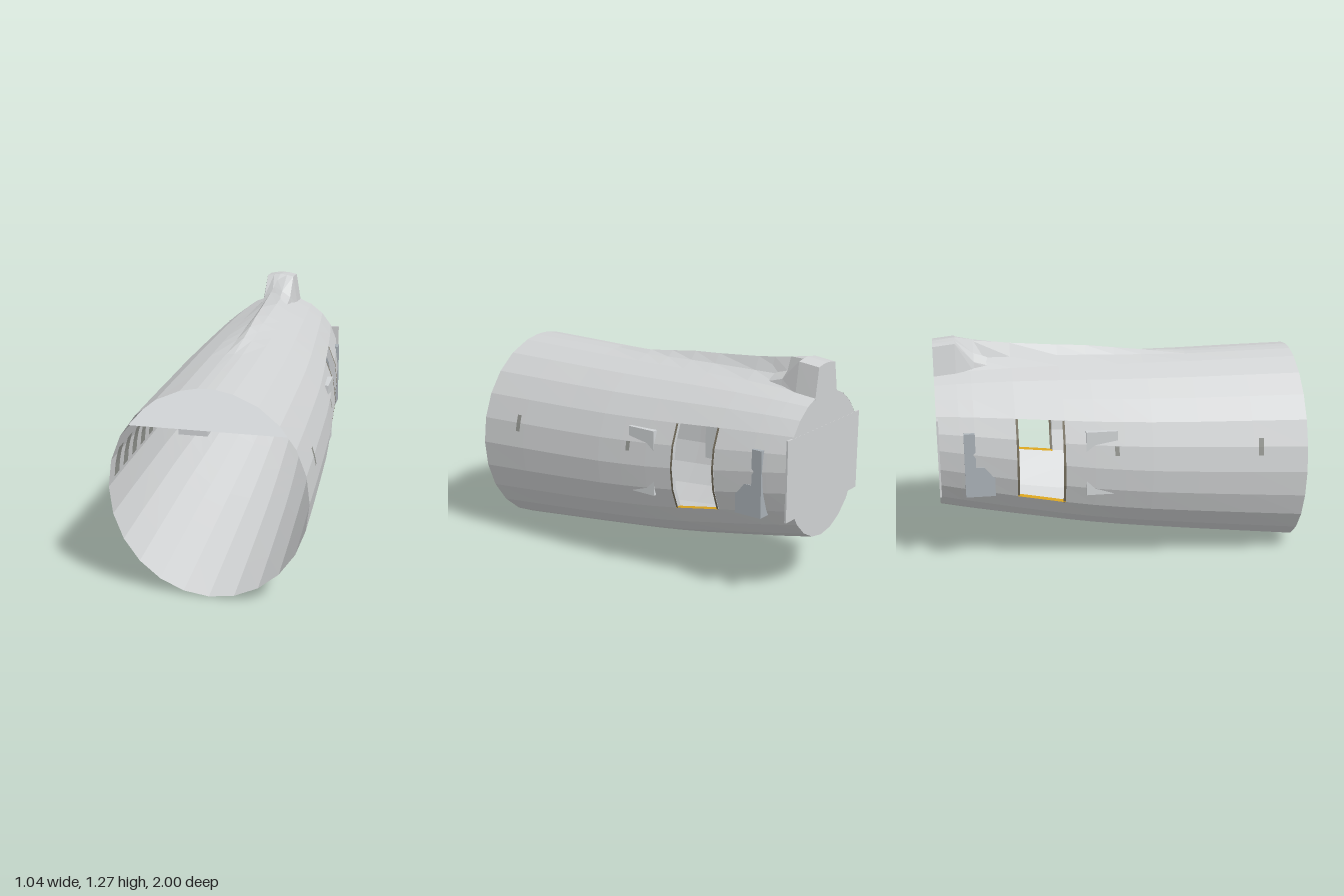
import * as THREE from 'three';

// Hull stations: z, bottom y, crown y, half width, waist y, ridge peak y
const STATIONS = [
  [1, 0, 1.135, 0.52, 0.57, 1.135],
  [0.7, 0.037, 1.133, 0.51, 0.585, 1.133],
  [0.4, 0.074, 1.13, 0.497, 0.6, 1.131],
  [0.15, 0.106, 1.13, 0.485, 0.614, 1.152],
  [0, 0.125, 1.13, 0.473, 0.625, 1.17],
  [-0.16, 0.148, 1.13, 0.458, 0.638, 1.19],
  [-0.32, 0.174, 1.13, 0.44, 0.655, 1.2],
  [-0.58, 0.222, 1.125, 0.41, 0.69, 1.222],
  [-0.8, 0.264, 1.115, 0.382, 0.72, 1.25],
  [-0.88, 0.28, 1.11, 0.37, 0.73, 1.263],
  [-1, 0.305, 1.1, 0.35, 0.745, 1.25],
];

function station(z) {
  let i = 0;
  while (i < STATIONS.length - 2 && STATIONS[i + 1][0] > z) i++;
  const a = STATIONS[i], b = STATIONS[i + 1], t = (z - a[0]) / (b[0] - a[0]);
  return a.map((v, k) => v + (b[k] - v) * t);
}

// Point on the hull at a depth and an angle in degrees (0 = model's left)
function hullPoint(z, deg) {
  const [, bottom, top, rx, cy, peak] = station(z);
  const r = THREE.MathUtils.degToRad(deg), s = Math.sin(r);
  let y = cy + s * (s > 0 ? top - cy : cy - bottom);
  if (deg === 90) y = peak;
  else if (Math.abs(deg - 90) < 8) y += 0.3 * (peak - y);
  return [rx * Math.cos(r), y, z];
}

// Faceted surface through rows of points, leaving out skipped cells
function loft(rows, skip = () => false) {
  const pos = [];
  for (let i = 0; i < rows.length - 1; i++) {
    for (let j = 0; j < rows[i].length - 1; j++) {
      if (skip(i, j)) continue;
      const a = rows[i][j], b = rows[i][j + 1], c = rows[i + 1][j], d = rows[i + 1][j + 1];
      pos.push(...a, ...c, ...b, ...b, ...c, ...d);
    }
  }
  const g = new THREE.BufferGeometry();
  g.setAttribute('position', new THREE.Float32BufferAttribute(pos, 3));
  g.computeVertexNormals();
  return g;
}

export function createModel() {
  const group = new THREE.Group();
  const mat = (name, color) => {
    const m = new THREE.MeshStandardMaterial({ color, side: THREE.DoubleSide, flatShading: true });
    m.name = name;
    return m;
  };
  const hullGrey = mat('hull grey', 0xd0d2d3);
  const cabinGrey = mat('cabin grey', 0xd0d3d5);
  const galleyBlue = mat('galley blue grey', 0xa9b0b6);
  const cartDark = mat('cart dark', 0x2b2b37);
  const frameBrown = mat('frame brown', 0x77705f);
  const sillGold = mat('sill gold', 0xdba51f);
  const trimGrey = mat('trim grey', 0x92948f);

  const add = (name, geometry, material) => {
    const m = new THREE.Mesh(geometry, material);
    m.name = name;
    group.add(m);
    return m;
  };
  // Box given by its low and high corners
  const box = (name, x0, x1, y0, y1, z0, z1, material) =>
    add(name, new THREE.BoxGeometry(Math.abs(x1 - x0), y1 - y0, z1 - z0), material)
      .position.set((x0 + x1) / 2, (y0 + y1) / 2, (z0 + z1) / 2);

  // Hull shell with a doorway in each side
  const DOOR_FRONT = -0.32, DOOR_BACK = -0.58;
  const angles = [];
  for (let a = -90; a <= 270; a += 15) {
    if (a === 90) angles.push(85, 90, 95);
    else angles.push(a);
  }
  const rows = STATIONS.map(([z]) => angles.map(a => hullPoint(z, a)));
  const isDoor = (i, j) => STATIONS[i][0] === DOOR_FRONT &&
    ((angles[j] >= -30 && angles[j] < 30) || (angles[j] >= 150 && angles[j] < 210));
  add('hull', loft(rows, isDoor), hullGrey);

  // Flat closing wall and wider bulkhead panel at the rear
  const capShape = new THREE.Shape(angles.map(a => {
    const p = hullPoint(-1, a);
    return new THREE.Vector2(p[0], p[1]);
  }));
  add('rearWall', new THREE.ShapeGeometry(capShape), hullGrey).position.z = -0.999;
  box('rearBulkhead', -0.355, 0.355, 0.475, 0.915, -1, -0.99, hullGrey);

  // Fin root rising from the dorsal ridge; half sections: z, then x,y pairs
  const finHalf = [
    [-0.68, 0.085, 1.09, 0.078, 1.115, 0.03, 1.15, 0, 1.235],
    [-0.78, 0.092, 1.09, 0.08, 1.145, 0.03, 1.18, 0, 1.25],
    [-0.88, 0.108, 1.08, 0.08, 1.253, 0.04, 1.26, 0, 1.266],
    [-1, 0.11, 1.06, 0.08, 1.24, 0.04, 1.248, 0, 1.251],
  ];
  const finRows = finHalf.map(([z, ...p]) => {
    const right = [0, 2, 4, 6].map(k => [p[k], p[k + 1], z]);
    return [...right, ...right.slice(0, 3).reverse().map(q => [-q[0], q[1], z])];
  });
  add('finRoot', loft(finRows), hullGrey);
  const finEnd = new THREE.Shape(finRows[3].map(q => new THREE.Vector2(q[0], q[1])));
  add('finRootEnd', new THREE.ShapeGeometry(finEnd), hullGrey).position.z = -1;

  // Cabin ceiling panel following the hull width
  const ceilingY = 0.915;
  const ceilingRows = STATIONS.map(([z, , top, rx, cy]) => {
    const s = (ceilingY - cy) / (top - cy), w = rx * Math.sqrt(1 - s * s) * 0.985;
    return [[w, ceilingY, z], [-w, ceilingY, z]];
  });
  add('ceiling', loft(ceilingRows), cabinGrey);

  // Rear galley: deep counter below, shallow cabinet above
  box('galleyCounter', -0.38, 0.38, 0.475, 0.645, -0.86, -0.7, galleyBlue);
  box('galleyCabinet', -0.38, 0.38, 0.645, 0.84, -0.86, -0.8, galleyBlue);
  for (let i = 0; i < 6; i++) {
    const x = -0.263 + i * 0.0875;
    box('galleyCart', x, x + 0.072, 0.485, 0.638, -0.7, -0.694, cartDark);
  }
  for (let i = 0; i < 4; i++) {
    const x = -0.176 + i * 0.0875;
    box('cabinetLatch', x, x + 0.016, 0.75, 0.758, -0.8, -0.794, trimGrey);
  }

  for (const side of [1, -1]) {
    // Lavatory compartment
    box('lavatory', side * 0.265, side * 0.442, 0.475, 0.84, -0.21, -0.04, cabinGrey);

    // Door jambs, lintel and gold sill, set inward from the hull
    const doorAngles = [-30, -15, 0, 15, 30];
    const inset = (p, d) => [side * (p[0] - d), p[1], p[2]];
    for (const z of [DOOR_FRONT, DOOR_BACK]) {
      const pts = doorAngles.map(a => hullPoint(z, a));
      const lip = z + (z === DOOR_FRONT ? -0.012 : 0.012);
      add('doorJamb', loft([pts.map(p => inset(p, -0.003)), pts.map(p => inset(p, 0.035))]), cabinGrey);
      add('doorSeal', loft([pts.map(p => inset(p, -0.003)),
        pts.map(p => inset([p[0], p[1], lip], -0.003))]), frameBrown);
    }
    const topEdge = [DOOR_FRONT, DOOR_BACK].map(z => hullPoint(z, 30));
    add('doorLintel', loft([topEdge.map(p => inset(p, 0)), topEdge.map(p => inset(p, 0.035))]), frameBrown);
    const sill = [DOOR_FRONT, DOOR_BACK].map(z => hullPoint(z, -30));
    add('doorSill', loft([-0.012, 0.025].map(d => sill.map(p => {
      const q = inset(p, d);
      return [q[0], q[1] + 0.004, q[2]];
    }))), sillGold);

    // Cabin windows lining the inner wall
    for (let i = 0; i < 7; i++) {
      const z = 0.9 - i * 0.135;
      const pane = [z + 0.035, z - 0.035].map(q =>
        [3, 10, 15, 20].map(a => inset(hullPoint(q, a), 0.008)));
      add('cabinWindow', loft(pane), trimGrey);
    }

    // Small slits in the outer skin
    for (const [z, w, a0, a1] of [[0.74, 0.014, 10, 20], [-0.045, 0.012, 9, 14]]) {
      const slit = [z + w, z - w].map(q => [a0, 15, a1].sort((m, n) => m - n)
        .map(a => inset(hullPoint(q, a), -0.003)));
      add('skinSlit', loft(slit), trimGrey);
    }
  }
  return group;
}
